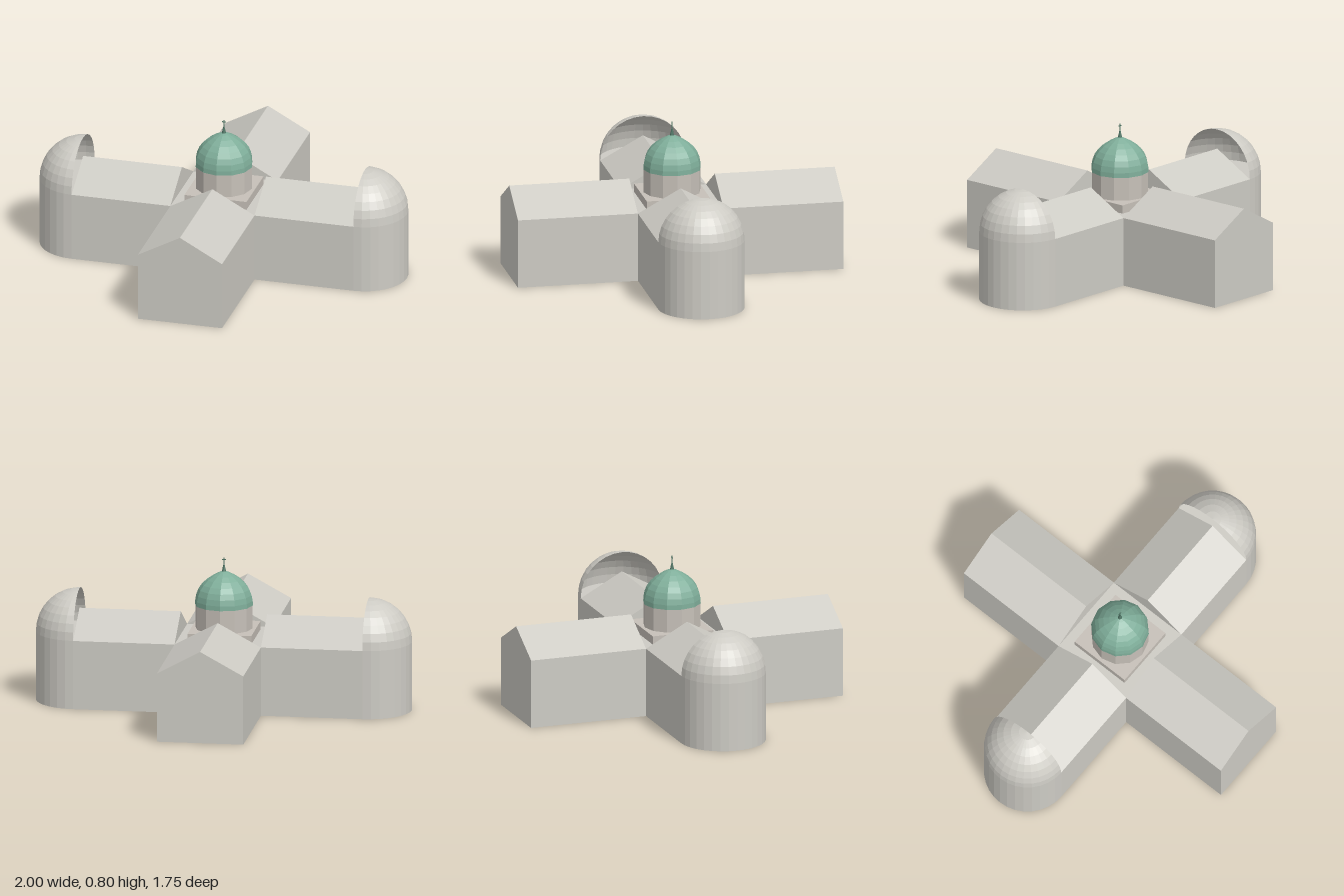
import * as THREE from 'three';

const HALF = 0.23;   // half width of every wing
const EAVE = 0.37;
const RIDGE = 0.495;

export function createModel() {
  const model = new THREE.Group();
  model.name = 'domedCrossBuilding';

  const stone = new THREE.MeshStandardMaterial({ color: 0xcdcbc4, flatShading: true, side: THREE.DoubleSide });
  const drumStone = new THREE.MeshStandardMaterial({ color: 0xc6c0b8, flatShading: true });
  const copper = new THREE.MeshStandardMaterial({ color: 0x7fae9a, flatShading: true });
  const darkCopper = new THREE.MeshStandardMaterial({ color: 0x4f7565, flatShading: true });

  const add = (parent, name, geometry, material, x = 0, y = 0, z = 0) => {
    const mesh = new THREE.Mesh(geometry, material);
    mesh.name = name;
    mesh.position.set(x, y, z);
    parent.add(mesh);
    return mesh;
  };

  // Gabled wing, running from the crossing out along +z
  const section = new THREE.Shape([
    [-HALF, 0], [HALF, 0], [HALF, EAVE], [0, RIDGE], [-HALF, EAVE],
  ].map(([x, y]) => new THREE.Vector2(x, y)));
  const wing = (length) => new THREE.ExtrudeGeometry(section, { depth: length, bevelEnabled: false })
    .translate(0, 0, HALF);

  // Front and back wings
  const longWing = wing(0.875 - HALF);
  add(model, 'frontWing', longWing, stone);
  add(model, 'backWing', longWing, stone).rotation.y = Math.PI;

  // Side wings, each ending in a round apse with an open half dome
  const shortWing = wing(0.77 - HALF);
  const apseWall = new THREE.CylinderGeometry(HALF, HALF, EAVE, 16, 1, false, 0, Math.PI);
  const apseDome = new THREE.SphereGeometry(HALF, 16, 8, Math.PI / 2, Math.PI, 0, Math.PI / 2);
  for (const [side, angle] of [['left', 0], ['right', Math.PI]]) {
    const group = new THREE.Group();
    group.name = side + 'Wing';
    group.rotation.y = angle;
    add(group, side + 'Hall', shortWing, stone).rotation.y = Math.PI / 2;
    add(group, side + 'ApseWall', apseWall, stone, 0.77, EAVE / 2, 0);
    add(group, side + 'ApseDome', apseDome, stone, 0.77, EAVE, 0);
    model.add(group);
  }

  // Crossing and the plinth under the drum
  add(model, 'crossing', new THREE.BoxGeometry(HALF * 2, EAVE, HALF * 2), stone, 0, EAVE / 2, 0);
  add(model, 'plinth', new THREE.BoxGeometry(0.34, 0.045, 0.34), drumStone, 0, EAVE + 0.0225, 0);

  // Twelve-sided drum and pointed dome
  add(model, 'drum', new THREE.CylinderGeometry(0.152, 0.152, 0.13, 12), drumStone, 0, 0.478, 0);
  const domeProfile = [
    [0.154, 0.54], [0.153, 0.565], [0.147, 0.595], [0.135, 0.625], [0.116, 0.652],
    [0.09, 0.677], [0.058, 0.699], [0.027, 0.715], [0, 0.725],
  ].map(([r, y]) => new THREE.Vector2(r, y));
  add(model, 'dome', new THREE.LatheGeometry(domeProfile, 12), copper);

  // Finial with a small cross
  const finial = new THREE.Group();
  finial.name = 'finial';
  add(finial, 'finialBase', new THREE.CylinderGeometry(0.003, 0.012, 0.04, 8), darkCopper, 0, 0.738, 0);
  add(finial, 'finialRod', new THREE.BoxGeometry(0.005, 0.05, 0.005), darkCopper, 0, 0.77, 0);
  add(finial, 'finialCrossbar', new THREE.BoxGeometry(0.02, 0.004, 0.004), darkCopper, 0, 0.784, 0);
  model.add(finial);

  return model;
}
